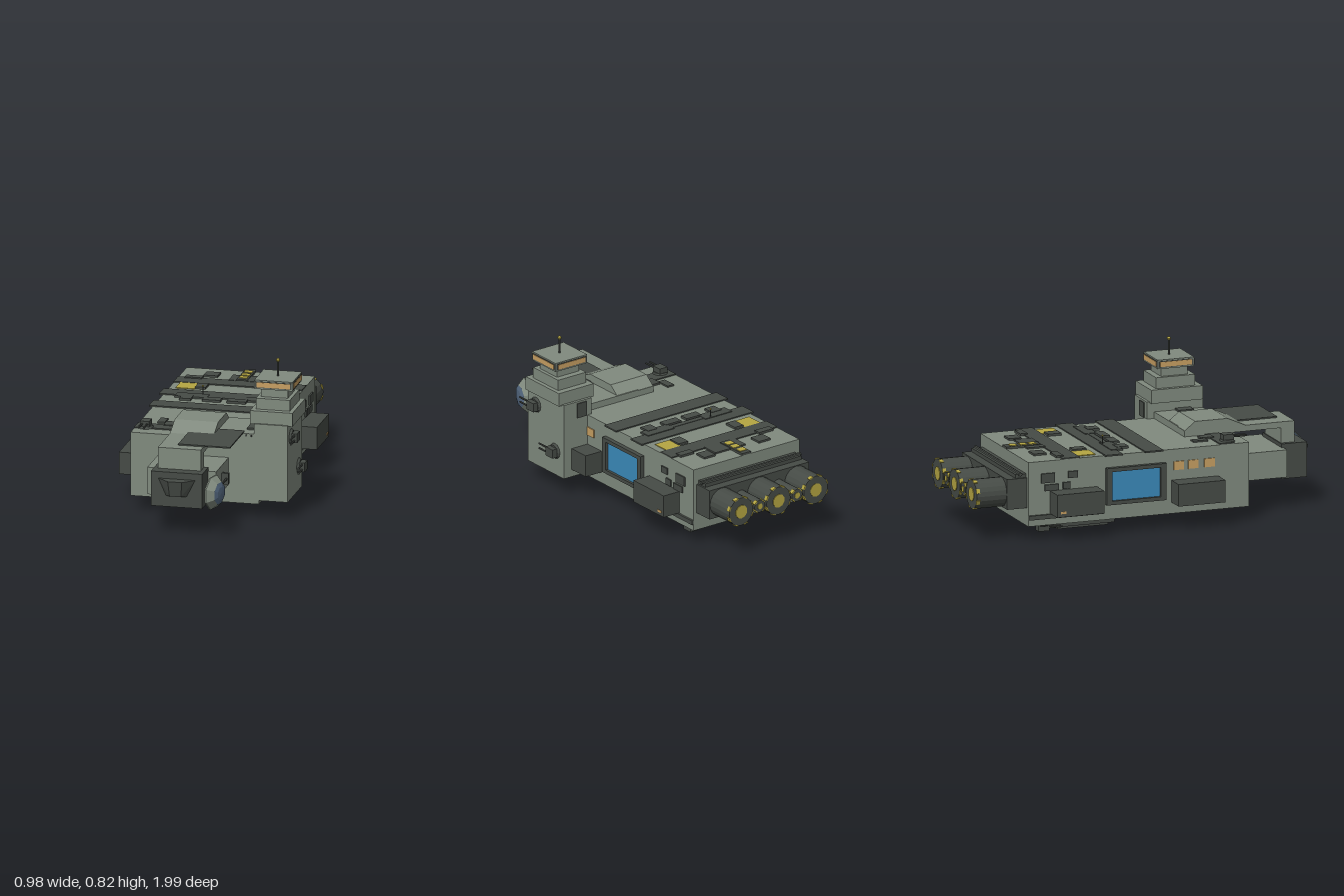
import * as THREE from 'three';
import { ConvexGeometry } from 'three/addons/geometries/ConvexGeometry.js';

const mat = (name, color, extra = {}) => Object.assign(
  new THREE.MeshStandardMaterial({ color, flatShading: true, ...extra }), { name });

export function createModel() {
  const root = new THREE.Group();
  root.name = 'spaceship';
  const hull = mat('hullGrey', 0x808a7e);
  const dark = mat('darkMetal', 0x464b46);
  const yellow = mat('yellow', 0xb5a642);
  const amber = mat('amberGlass', 0xc79f62);
  const blue = mat('blueGlass', 0x3b8abb);
  const steel = mat('dishBlue', 0x53677f, { side: THREE.DoubleSide });

  const add = (name, geo, m, parent = root) => {
    const mesh = new THREE.Mesh(geo, m);
    mesh.name = name;
    parent.add(mesh);
    return mesh;
  };
  // Box given by its limits on each axis
  const box = (name, m, x0, x1, y0, y1, z0, z1, parent = root) => {
    const b = add(name, new THREE.BoxGeometry(x1 - x0, y1 - y0, z1 - z0), m, parent);
    b.position.set((x0 + x1) / 2, (y0 + y1) / 2, (z0 + z1) / 2);
    return b;
  };
  // Cylinder along z or y
  const rod = (name, m, r0, r1, len, x, y, z, axis = 'y', seg = 16, parent = root) => {
    const g = new THREE.CylinderGeometry(r0, r1, len, seg);
    if (axis === 'z') g.rotateX(Math.PI / 2);
    const c = add(name, g, m, parent);
    c.position.set(x, y, z);
    return c;
  };

  // Main hull
  box('mainHull', hull, -0.39, 0.29, 0.08, 0.42, -0.72, 0.5);

  // Roof bands and plates: [x0, x1, z0, z1, top]
  const roof = [
    [-0.39, 0.29, -0.53, -0.435, 0.426], [-0.41, 0.31, -0.3, -0.205, 0.426],
    [-0.41, 0.31, -0.08, 0.02, 0.426], [-0.265, -0.19, -0.64, -0.57, 0.43],
    [0.09, 0.16, -0.64, -0.57, 0.43], [-0.12, -0.08, -0.62, -0.52, 0.428],
    [-0.025, 0.075, -0.62, -0.52, 0.428], [-0.35, -0.26, -0.55, -0.51, 0.432],
    [0.16, 0.245, -0.55, -0.51, 0.432], [-0.255, -0.2, -0.42, -0.345, 0.432],
    [0.1, 0.16, -0.42, -0.345, 0.432], [-0.32, -0.15, -0.235, -0.17, 0.43],
    [0.05, 0.22, -0.235, -0.17, 0.43], [-0.285, -0.225, -0.19, -0.125, 0.432],
    [0.125, 0.185, -0.19, -0.125, 0.432], [-0.23, 0.13, -0.22, -0.19, 0.428],
    [-0.165, -0.07, -0.18, -0.13, 0.432], [-0.035, 0.065, -0.18, -0.13, 0.432],
    [-0.295, -0.255, 0.23, 0.31, 0.428], [-0.25, -0.195, 0.29, 0.36, 0.43],
    [-0.39, -0.165, 0.34, 0.42, 0.426],
  ];
  roof.forEach(([x0, x1, z0, z1, top]) => box('roofPlate', dark, x0, x1, 0.418, top, z0, z1));
  box('roofStripBase', dark, -0.08, -0.022, 0.418, 0.432, -0.72, -0.53);
  for (const z of [-0.675, -0.62, -0.57])
    box('roofYellowLight', yellow, -0.073, -0.03, 0.431, 0.435, z - 0.018, z + 0.018);
  box('roofYellowPanel', yellow, -0.355, -0.255, 0.418, 0.424, -0.435, -0.335);
  box('roofYellowPanel', yellow, 0.155, 0.25, 0.418, 0.424, -0.435, -0.335);
  rod('roofAerial', dark, 0.003, 0.003, 0.055, -0.185, 0.445, -0.23, 'y', 6);
  add('aerialTip', new THREE.SphereGeometry(0.005, 8, 6), yellow).position.set(-0.185, 0.474, -0.23);

  // Side fittings, mirrored about the hull's centre line x = -0.05
  for (const s of [1, -1]) {
    const side = (name, m, a, b, y0, y1, z0, z1) => {
      const p = -0.05 + s * (0.34 + a), q = -0.05 + s * (0.34 + b);
      return box(name, m, Math.min(p, q), Math.max(p, q), y0, y1, z0, z1);
    };
    // Window frame is four bars around the glass
    side('windowFrame', dark, 0, 0.024, 0.16, 0.18, -0.295, 0.035);
    side('windowFrame', dark, 0, 0.024, 0.335, 0.355, -0.295, 0.035);
    side('windowFrame', dark, 0, 0.024, 0.18, 0.335, 0.005, 0.035);
    side('windowFrame', dark, 0, 0.024, 0.18, 0.335, -0.295, -0.265);
    side('sideWindow', blue, 0, 0.009, 0.18, 0.335, -0.265, 0.005);
    side('rearPod', dark, 0, 0.103, 0.14, 0.26, -0.6, -0.34);
    side('podLight', amber, 0.1, 0.106, 0.158, 0.17, -0.58, -0.55);
    side('frontPod', dark, 0, 0.103, 0.14, 0.257, 0.07, s > 0 ? 0.19 : 0.33);
    side('lowerRail', dark, 0, 0.012, 0.115, 0.138, -0.72, -0.31);
    [[0.32, 0.355, -0.5, -0.45], [0.305, 0.355, -0.65, -0.575],
      [0.265, 0.3, -0.53, -0.49], [0.262, 0.295, -0.63, -0.555]]
      .forEach(([y0, y1, z0, z1]) => side('sidePlate', dark, 0, 0.008, y0, y1, z0, z1));
    (s > 0 ? [0.16] : [0.11, 0.19, 0.28]).forEach(z =>
      side('sideLight', amber, 0, 0.006, 0.31, 0.355, z - 0.028, z + 0.028));
  }

  // Engine block and nozzles
  box('engineBlock', dark, -0.37, 0.27, 0.175, 0.335, -0.83, -0.72);
  box('engineBlockUpper', dark, -0.36, 0.26, 0.335, 0.355, -0.78, -0.72);
  rod('enginePipe', dark, 0.01, 0.01, 0.64, -0.05, 0.355, -0.755, 'y', 8).rotation.z = Math.PI / 2;
  const engine = (x, r, tabs) => {
    const g = new THREE.Group();
    g.name = 'engine';
    g.position.set(x, 0.255, -0.91);
    root.add(g);
    rod('engineBarrel', dark, r, r, 0.17, 0, 0, 0, 'z', 20, g);
    rod('engineCore', yellow, r * 0.48, r * 0.48, 0.008, 0, 0, -0.0845, 'z', 10, g);
    for (let i = 0; i < tabs; i++) {
      const a = (i + 0.5) / tabs * Math.PI * 2;
      const t = box('engineTab', yellow, -0.012, 0.012, -0.003, 0.003, -0.01, 0.01, g);
      t.position.set(Math.cos(a) * r, Math.sin(a) * r, -0.077);
      t.rotation.z = a + Math.PI / 2;
    }
  };
  [-0.29, -0.05, 0.19].forEach(x => engine(x, 0.077, 8));
  [-0.17, 0.07].forEach(x => engine(x, 0.034, 4));

  // Belly hatch
  box('bellyHatch', dark, -0.225, 0.125, 0.02, 0.08, -0.52, -0.18);
  box('bellyPlate', dark, -0.21, 0.112, 0.006, 0.018, -0.49, -0.21);
  box('bellyPlateCore', dark, -0.17, 0.07, 0.01, 0.021, -0.5, -0.2);
  for (const [x, z] of [[-0.12, -0.42], [-0.08, -0.35], [-0.03, -0.3], [0.01, -0.38], [0.04, -0.27], [-0.04, -0.43]])
    box('bellyLight', yellow, x - 0.018, x + 0.018, 0.003, 0.008, z - 0.008, z + 0.008);

  // Raised deck, sloped housing and overhanging arm
  box('raisedDeck', hull, -0.065, 0.265, 0.42, 0.455, 0.23, 0.5);
  box('arm', hull, -0.162, 0.065, 0.42, 0.452, 0.23, 0.84);
  box('armPost', hull, -0.162, 0.065, 0.33, 0.43, 0.765, 0.84);
  const profile = new THREE.Shape([[-0.23, 0.42], [-0.23, 0.45], [-0.29, 0.497], [-0.47, 0.497], [-0.57, 0.452], [-0.57, 0.42]]
    .map(p => new THREE.Vector2(...p)));
  const housing = add('slopedHousing', new THREE.ExtrudeGeometry(profile, { depth: 0.23, bevelEnabled: false })
    .rotateY(Math.PI / 2), hull);
  housing.position.x = -0.163;
  box('deckPanel', dark, -0.07, 0.205, 0.452, 0.459, 0.46, 0.78);
  for (const x of [0.222, 0.248]) box('deckPort', dark, x - 0.005, x + 0.005, 0.44, 0.45, 0.5, 0.505);

  // Neck and nose
  box('neck', hull, -0.235, 0.13, 0.175, 0.32, 0.5, 0.77);
  box('nose', dark, -0.185, 0.087, 0.155, 0.34, 0.76, 0.9);
  const nosePts = [[-0.145, 0.305, 0.9], [0.05, 0.305, 0.9], [0.005, 0.215, 0.9], [-0.105, 0.215, 0.9],
    [-0.085, 0.302, 0.945], [-0.01, 0.302, 0.945], [-0.02, 0.218, 0.925], [-0.08, 0.218, 0.925]];
  add('noseWedge', new ConvexGeometry(nosePts.map(p => new THREE.Vector3(...p))), dark);

  // Dish on its strut
  rod('dishStrut', dark, 0.006, 0.006, 0.27, 0.155, 0.25, 0.755, 'z', 8);
  box('dishBracket', dark, 0.13, 0.165, 0.22, 0.28, 0.63, 0.652);
  const dish = new THREE.Group();
  dish.name = 'dish';
  dish.position.set(0.145, 0.25, 0.905);
  dish.rotation.y = -0.26;
  root.add(dish);
  const lathe = (name, pts, m) => {
    const g = new THREE.LatheGeometry(pts.map(p => new THREE.Vector2(...p)), 8);
    g.rotateY(Math.PI / 8).rotateZ(-Math.PI / 2);
    return add(name, g, m, dish);
  };
  lathe('dishBowl', [[0, 0.028], [0.05, 0.022], [0.088, 0]], steel);
  const shell = hull.clone();
  shell.side = THREE.DoubleSide;
  lathe('dishRim', [[0.092, -0.002], [0.092, 0.006], [0.06, 0.04]], shell);
  lathe('dishBack', [[0.06, 0.04], [0.035, 0.048], [0, 0.05]], steel);
  lathe('dishFeed', [[0, -0.035], [0.012, -0.015], [0.04, 0.022]], shell);

  // Control tower
  box('towerBase', hull, 0.265, 0.443, 0.1, 0.51, 0.19, 0.5);
  box('towerTier', hull, 0.24, 0.465, 0.505, 0.577, 0.205, 0.49);
  box('towerTier', hull, 0.263, 0.443, 0.577, 0.635, 0.24, 0.455);
  box('towerTier', hull, 0.282, 0.424, 0.635, 0.682, 0.275, 0.42);
  box('towerCabin', hull, 0.253, 0.455, 0.682, 0.73, 0.245, 0.447);
  for (let i = 0; i < 4; i++) {
    const g = new THREE.Group();
    g.name = 'cabinSide';
    g.position.set(0.354, 0.706, 0.346);
    g.rotation.y = i * Math.PI / 2;
    root.add(g);
    box('cabinFrame', dark, -0.097, 0.097, -0.017, 0.017, 0.098, 0.1035, g);
    box('cabinWindow', amber, -0.088, 0.088, -0.013, 0.013, 0.1, 0.106, g);
  }
  rod('towerMast', dark, 0.006, 0.006, 0.085, 0.354, 0.77, 0.346, 'y', 8);
  add('mastTip', new THREE.SphereGeometry(0.01, 10, 8), yellow).position.set(0.354, 0.815, 0.346);
  box('towerDoor', dark, 0.3, 0.36, 0.42, 0.5, 0.184, 0.192);
  box('towerSidePlate', dark, 0.21, 0.265, 0.45, 0.465, 0.345, 0.43);

  // Twin-barrel turrets, standing on the local y axis
  const turret = (x, y, z, tilt) => {
    const g = new THREE.Group();
    g.name = 'turret';
    g.position.set(x, y, z);
    g.rotation.z = tilt;
    root.add(g);
    rod('turretBase', dark, 0.034, 0.042, 0.012, 0, 0.006, 0, 'y', 12, g);
    box('turretHead', dark, -0.024, 0.024, 0.01, 0.04, -0.03, 0.03, g);
    for (const s of [-1, 1])
      rod('turretBarrel', dark, 0.005, 0.005, 0.08, s * 0.013, 0.025, 0.065, 'z', 8, g);
  };
  turret(-0.333, 0.422, 0.4, 0);
  turret(-0.333, 0.08, -0.62, Math.PI);
  turret(0.235, 0.08, -0.62, Math.PI);
  turret(0.443, 0.435, 0.43, -Math.PI / 2);
  turret(0.443, 0.232, 0.265, -Math.PI / 2);

  return root;
}
